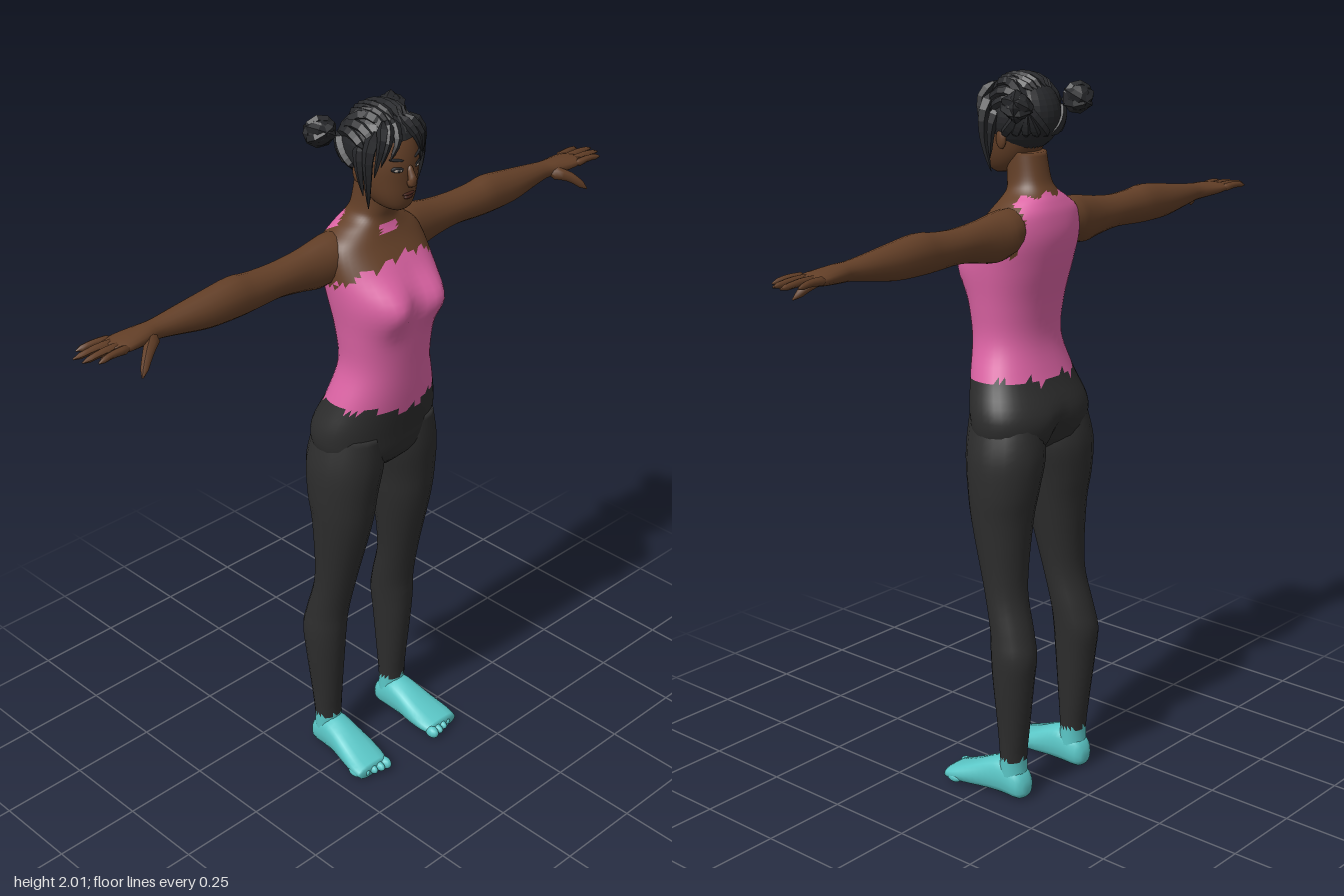
import * as THREE from 'three';

const V = (x, y, z) => new THREE.Vector3(x, y, z);
const gauss = (v, c, w) => Math.exp(-(((v - c) / w) ** 2));

function material(name, color) {
  const m = new THREE.MeshStandardMaterial({ color });
  m.name = name;
  return m;
}
const skin = material('skin', 0x633f27);
const pink = material('pink fabric', 0xdc63a4);
const black = material('black fabric', 0x2d2d2d);
const teal = material('teal shoe', 0x5bc8c8);
const hair = material('hair', 0x26272a);
const lip = material('lip', 0x47241c);
const white = material('eye white', 0xb5a89c);
const palette = [skin, pink, black, teal];

// Catmull-Rom through rows of numbers
function sample(rows, u) {
  const n = rows.length - 1, i = Math.min(Math.floor(u * n), n - 1), t = u * n - i;
  const at = k => rows[Math.max(0, Math.min(n, k))];
  return rows[0].map((_, c) => {
    const [a, b, d, e] = [at(i - 1)[c], at(i)[c], at(i + 1)[c], at(i + 2)[c]];
    return b + 0.5 * t * (d - a + t * (2 * a - 5 * b + 4 * d - e + t * (3 * (b - d) + e - a)));
  });
}

// Closed skin over oval cross-sections. Row: [t, aMin, aMax, bMin, bMax];
// along y: a = z, b = x; along x: a = y, b = z; along z: a = x, b = y.
function loft(axis, rows, steps, sides, { warp, paint, power = 1 } = {}) {
  const pts = [], tri = [];
  const place = (t, a, b) => axis === 'x' ? V(t, a, b) : axis === 'y' ? V(b, t, a) : V(a, b, t);
  const round = v => Math.sign(v) * Math.abs(v) ** power;
  for (let i = 0; i <= steps; i++) {
    const [t, a0, a1, b0, b1] = sample(rows, i / steps);
    for (let j = 0; j < sides; j++) {
      const th = j / sides * Math.PI * 2;
      const p = place(t, (a0 + a1) / 2 + (a1 - a0) / 2 * round(Math.cos(th)),
        (b0 + b1) / 2 + (b1 - b0) / 2 * round(Math.sin(th)));
      if (warp) warp(p);
      pts.push(p);
    }
  }
  for (let i = 0; i < steps; i++) for (let j = 0; j < sides; j++) {
    const a = i * sides + j, b = i * sides + (j + 1) % sides, c = a + sides, d = b + sides;
    tri.push([a, b, d], [a, d, c]);
  }
  [rows[0], rows[rows.length - 1]].forEach((r, end) => {
    const c = pts.push(place(r[0], (r[1] + r[2]) / 2, (r[3] + r[4]) / 2)) - 1, o = end * steps * sides;
    for (let j = 0; j < sides; j++) {
      const a = o + j, b = o + (j + 1) % sides;
      tri.push(end ? [c, a, b] : [c, b, a]);
    }
  });
  const g = new THREE.BufferGeometry().setFromPoints(pts);
  if (paint) {
    const sets = palette.map(() => []);
    for (const f of tri) {
      const mid = f.reduce((s, k) => s.add(pts[k]), V(0, 0, 0)).divideScalar(3);
      sets[palette.indexOf(paint(mid))].push(...f);
    }
    let start = 0;
    sets.forEach((s, k) => { if (s.length) g.addGroup(start, s.length, k); start += s.length; });
    g.setIndex(sets.flat());
  } else g.setIndex(tri.flat());
  g.computeVertexNormals();
  return g;
}

function faceted(g) {
  const f = g.index ? g.toNonIndexed() : g;
  f.computeVertexNormals();
  return f;
}

function mirrored(g) {
  const m = g.clone().scale(-1, 1, 1);
  if (!m.index) m.setIndex([...Array(m.attributes.position.count).keys()]);
  const ix = m.index.array;
  for (let i = 0; i < ix.length; i += 3) [ix[i], ix[i + 1]] = [ix[i + 1], ix[i]];
  const n = m.attributes.normal;
  m.computeVertexNormals();
  if (!g.index) return m;
  for (let i = 0; i < n.count; i++) {
    const s = g.attributes.normal;
    m.attributes.normal.setXYZ(i, -s.getX(i), s.getY(i), s.getZ(i));
  }
  return m;
}

// Rounded tapering piece along a path
function taper(points, r0, r1, sides = 6, steps = 6, flat = true) {
  const path = new THREE.CatmullRomCurve3(points), g = new THREE.TubeGeometry(path, steps, 1, sides);
  const p = g.attributes.position, v = V(0, 0, 0);
  for (let i = 0; i < p.count; i++) {
    const t = Math.floor(i / (sides + 1)) / steps, c = path.getPointAt(t);
    const end = t === 0 || t === 1 ? 0.25 : 1;
    v.fromBufferAttribute(p, i).sub(c).multiplyScalar((r0 + (r1 - r0) * t) * end).add(c);
    p.setXYZ(i, v.x, v.y, v.z);
  }
  if (flat) return faceted(g);
  g.computeVertexNormals();
  return g;
}

export function createModel() {
  const model = new THREE.Group();
  model.name = 'woman';
  const add = (name, g, mat) => {
    const mesh = new THREE.Mesh(g, mat);
    mesh.name = name;
    model.add(mesh);
  };
  const pair = (name, g, mat) => {
    add('left ' + name, g, mat);
    add('right ' + name, mirrored(g), mat);
  };
  const blob = (x, y, z, sx, sy, sz) => new THREE.SphereGeometry(1, 12, 8).scale(sx, sy, sz).translate(x, y, z);

  // Torso and neck: trousers, top and bare shoulders
  const torso = [[0.97, -0.06, 0.03, 0.03], [1.02, -0.13, 0.075, 0.165], [1.1, -0.152, 0.09, 0.195], [1.2, -0.112, 0.105, 0.165],
    [1.3, -0.086, 0.115, 0.135], [1.4, -0.095, 0.125, 0.141], [1.5, -0.12, 0.128, 0.155], [1.58, -0.134, 0.09, 0.16],
    [1.64, -0.128, 0.05, 0.148], [1.675, -0.115, 0.032, 0.105], [1.7, -0.1, 0.026, 0.068], [1.73, -0.085, 0.03, 0.054],
    [1.8, -0.07, 0.035, 0.05]].map(([y, b, f, w]) => [y, b, f, -w, w]);
  add('torso', loft('y', torso, 60, 44, {
    power: 0.9,
    warp: p => {
      if (p.z > 0) p.z += 0.04 * gauss(p.y, 1.49, 0.065) * gauss(Math.abs(p.x), 0.075, 0.055);
      else p.z += 0.035 * gauss(p.y, 1.03, 0.06) * gauss(p.x, 0, 0.03);
    },
    paint: p => {
      const x = Math.abs(p.x), wave = 0.008 * Math.sin(p.x * 95);
      if (p.y < 1.2 + wave - (p.z > 0.03 ? 0.035 * gauss(p.x, 0, 0.1) : 0)) return black;
      if (p.z > 0 && x < 0.028 && p.y > 1.662 && p.y < 1.686) return pink;
      if (p.y < 1.54) return pink;
      if (p.z > 0) return p.y < 1.608 + wave - 0.04 * (x / 0.15) ** 2 ? pink : skin;
      return p.z < -0.06 && x < 0.13 - (p.y - 1.54) * 0.2 && p.y < 1.695 + wave ? pink : skin;
    },
  }), palette);

  // Legs with ragged shoe edge
  const leg = [[1.1, -0.13, 0.08, 0.01, 0.18], [1.0, -0.146, 0.08, 0.0, 0.205], [0.9, -0.135, 0.068, 0.018, 0.207],
    [0.8, -0.117, 0.053, 0.032, 0.2], [0.62, -0.11, 0.008, 0.06, 0.188], [0.5, -0.14, -0.018, 0.07, 0.192],
    [0.43, -0.156, -0.024, 0.075, 0.197], [0.35, -0.148, -0.03, 0.08, 0.193], [0.2, -0.13, -0.044, 0.087, 0.18],
    [0.12, -0.121, -0.05, 0.09, 0.175], [0.05, -0.125, -0.045, 0.09, 0.172]].reverse();
  pair('leg', loft('y', leg, 44, 20, { paint: p => p.y < 0.115 + 0.008 * Math.sin(p.x * 150) ? teal : black }), palette);

  // Feet and toes
  pair('foot', loft('z', [[-0.137, 0.115, 0.145, 0.015, 0.045], [-0.12, 0.095, 0.168, 0, 0.08], [-0.07, 0.087, 0.176, 0, 0.11],
    [-0.02, 0.085, 0.182, 0, 0.1], [0.04, 0.08, 0.195, 0, 0.072], [0.09, 0.082, 0.203, 0, 0.05],
    [0.12, 0.09, 0.2, 0.002, 0.038]], 18, 16, { power: 0.8 }), teal);
  for (let i = 0; i < 5; i++) {
    const big = i === 0 ? 1.3 : 1;
    pair('toe ' + (i + 1), blob(0.1 + i * 0.023, 0.017, 0.12 - i * i * 0.002, 0.012 * big, 0.014 * big, 0.024), teal);
  }

  // Arms with palms
  pair('arm', loft('x', [[0.08, 1.57, 1.665, -0.1, -0.015], [0.13, 1.545, 1.668, -0.114, 0.002], [0.18, 1.533, 1.662, -0.107, -0.003],
    [0.24, 1.543, 1.652, -0.1, -0.01], [0.32, 1.553, 1.645, -0.1, -0.012], [0.4, 1.549, 1.648, -0.1, -0.01],
    [0.46, 1.547, 1.655, -0.102, -0.008], [0.55, 1.55, 1.644, -0.1, -0.012], [0.64, 1.565, 1.632, -0.092, -0.024],
    [0.7, 1.575, 1.625, -0.085, -0.03], [0.74, 1.577, 1.623, -0.09, -0.022], [0.8, 1.582, 1.617, -0.1, -0.014],
    [0.835, 1.59, 1.61, -0.093, -0.02]], 36, 16), skin);

  // Fingers and thumbs
  [[-0.022, -0.013, 0.9], [-0.045, -0.042, 0.925], [-0.068, -0.072, 0.93], [-0.09, -0.101, 0.9]].forEach(([z0, z1, x], i) => {
    pair('finger ' + (i + 1), taper([V(0.8, 1.6, z0), V(0.86, 1.604, (z0 + z1) / 2), V(x, 1.598, z1)], 0.0125, 0.007, 7, 6, false), skin);
  });
  pair('thumb', taper([V(0.71, 1.597, -0.045), V(0.76, 1.578, -0.008), V(0.805, 1.537, 0.023)], 0.021, 0.008, 7, 6, false), skin);

  // Head
  const head = [[1.737, 0.05, 0.08, 0.018], [1.75, 0.0, 0.095, 0.042], [1.78, -0.035, 0.102, 0.062], [1.82, -0.06, 0.104, 0.074],
    [1.87, -0.078, 0.105, 0.08], [1.92, -0.083, 0.091, 0.077], [1.96, -0.06, 0.06, 0.055], [1.985, -0.01, 0.01, 0.01]];
  add('head', loft('y', head.map(([y, b, f, w]) => [y, b, f, -w, w]), 24, 28, { power: 0.92 }), skin);
  add('nose', taper([V(0, 1.865, 0.1), V(0, 1.84, 0.11), V(0, 1.822, 0.116), V(0, 1.815, 0.1)], 0.007, 0.014, 8, 8, false), skin);
  add('upper lip', blob(0, 1.787, 0.1, 0.021, 0.005, 0.007), lip);
  add('lower lip', blob(0, 1.779, 0.099, 0.017, 0.006, 0.008), lip);
  pair('ear', blob(0.08, 1.838, 0.0, 0.009, 0.028, 0.016), skin);

  // Eyes and brows
  const facePlate = (x, y, z, w, h, tilt) => blob(0, 0, 0, w, h, 0.0045).rotateZ(tilt).rotateY(0.4).translate(x, y, z);
  pair('eyelid', facePlate(0.035, 1.858, 0.096, 0.018, 0.008, 0.12), hair);
  pair('eye', facePlate(0.035, 1.856, 0.098, 0.012, 0.0045, 0.1), white);
  pair('iris', facePlate(0.034, 1.856, 0.1, 0.0045, 0.0048, 0), hair);
  pair('brow', facePlate(0.037, 1.883, 0.094, 0.021, 0.004, 0.2), hair);

  // Hair cap cut along the hairline
  const onCap = (d, k = 1) => d.clone().normalize().multiply(V(0.095, 0.098, 0.104)).multiplyScalar(k).add(V(0, 1.895, -0.007));
  const cap = new THREE.SphereGeometry(1, 28, 20), cp = cap.attributes.position, keep = [];
  for (let i = 0; i < cp.count; i++) {
    const v = onCap(V(cp.getX(i), cp.getY(i), cp.getZ(i)));
    cp.setXYZ(i, v.x, v.y, v.z);
  }
  for (let i = 0; i < cap.index.count; i += 3) {
    const f = [0, 1, 2].map(k => cap.index.getX(i + k));
    const y = f.reduce((s, k) => s + cp.getY(k) / 3, 0), z = f.reduce((s, k) => s + cp.getZ(k) / 3, 0);
    if (y > 1.812 + 0.115 * THREE.MathUtils.smoothstep(z, 0, 0.08)) keep.push(...f);
  }
  cap.setIndex(keep);
  add('hair cap', faceted(cap), hair);

  // Locks swept from the hairline and nape to the buns
  const bun = V(0.123, 1.932, -0.09), toBun = V(0.85, 0.3, -0.75);
  for (let i = 0; i < 9; i++) {
    const a = i / 8 * Math.PI, from = V(0.08 + 0.95 * Math.sin(a), i < 2 ? 0.5 : i < 4 ? 0.15 : -0.6, Math.cos(a));
    const pts = [0, 0.33, 0.67, 1].map(t => onCap(from.clone().normalize().lerp(toBun, t).add(V(0, i < 4 ? 0.9 * t * (1 - t) * (4 - i) : 0, 0)), 0.98));
    pair('swept lock ' + (i + 1), taper(pts, 0.013, 0.017, 5, 7), hair);
  }
  for (let i = 0; i < 3; i++) {
    const pts = [0, 1, 2, 3].map(k => onCap(V(0.12 + i * 0.22, 1, 0.75 - k * 0.55), 0.99));
    pair('crown lock ' + (i + 1), taper(pts, 0.017, 0.013, 5, 6), hair);
  }

  // Buns with twisted coils
  const ball = new THREE.IcosahedronGeometry(0.037, 1).translate(bun.x, bun.y, bun.z);
  pair('bun', faceted(ball), hair);
  for (let i = 0; i < 3; i++) {
    const coil = new THREE.TorusGeometry(0.031, 0.0135, 5, 9).rotateX(i * 1.05).rotateY(0.5 + i * 0.9).translate(bun.x, bun.y, bun.z);
    pair('bun coil ' + (i + 1), faceted(coil), hair);
  }

  // Fringe and long side locks
  [[0.015, 0.03, 0.055, 1.885], [0.03, 0.055, 0.073, 1.87], [0.045, 0.07, 0.082, 1.84]].forEach(([x0, x1, x2, y], i) => {
    pair('fringe lock ' + (i + 1), taper([V(x0, 1.975, 0.055), V(x1, 1.935, 0.093 - i * 0.008), V(x2, y, 0.09 - i * 0.014)], 0.018, 0.003, 5, 6), hair);
  });
  pair('side lock', taper([V(0.06, 1.95, 0.045), V(0.09, 1.9, 0.05), V(0.092, 1.83, 0.05), V(0.078, 1.748, 0.037)], 0.022, 0.003, 5, 8), hair);
  pair('back side lock', taper([V(0.08, 1.92, 0.01), V(0.095, 1.87, 0.02), V(0.09, 1.785, 0.03)], 0.02, 0.003, 5, 6), hair);
  return model;
}
